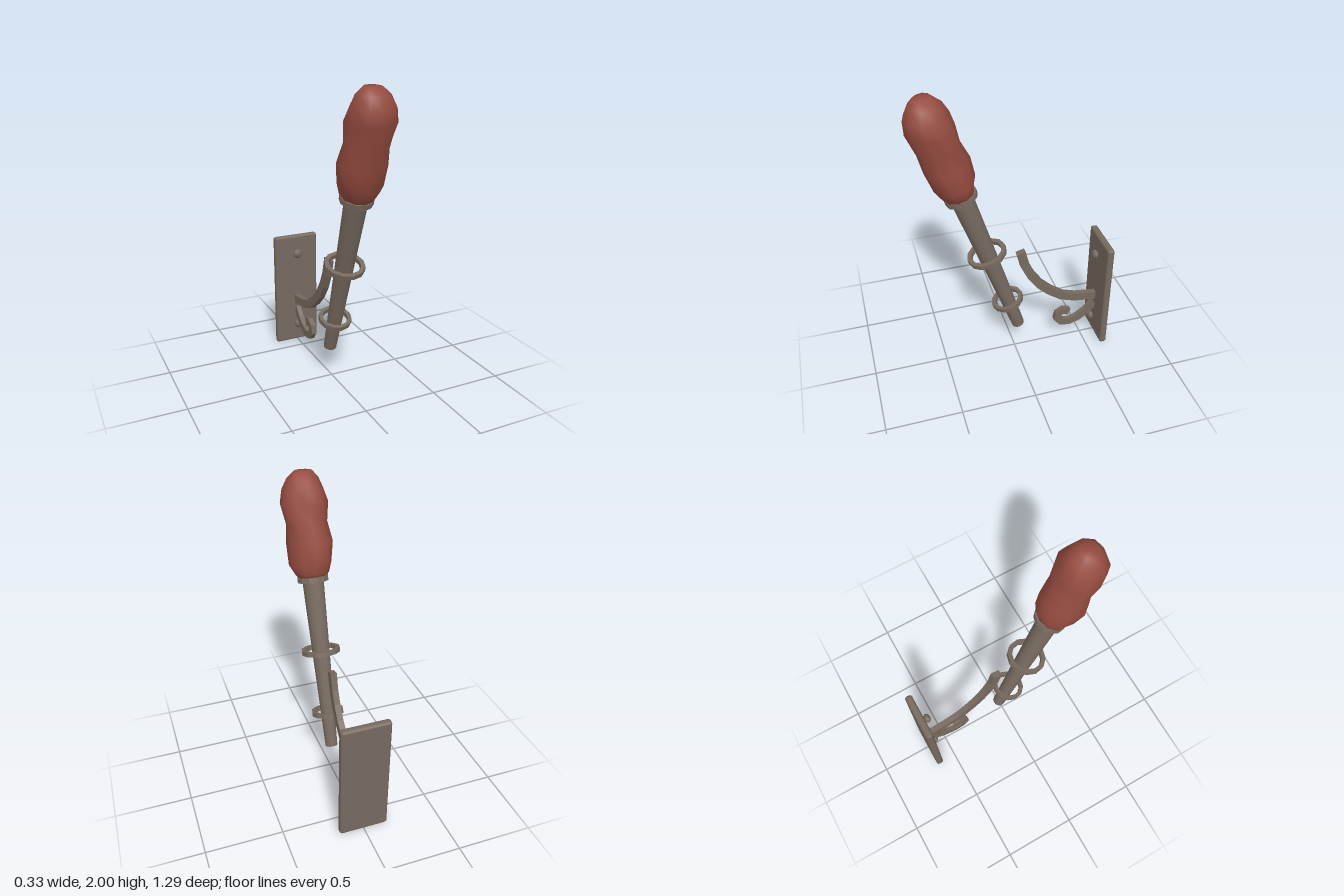
import * as THREE from 'three';
import { RoundedBoxGeometry } from 'three/addons/geometries/RoundedBoxGeometry.js';

const material = (name, color, extra = {}) => {
  const m = new THREE.MeshStandardMaterial({ color, ...extra });
  m.name = name;
  return m;
};

// Flat bar of constant thickness following a [z, y] path, centred on x = 0
function barGeometry(path, thickness, width) {
  const pts = path.map(([z, y]) => new THREE.Vector2(z, y));
  const side = (sign) => pts.map((p, i) => {
    const a = pts[Math.max(i - 1, 0)], b = pts[Math.min(i + 1, pts.length - 1)];
    const t = b.clone().sub(a).normalize();
    return new THREE.Vector2(p.x - t.y * sign * thickness / 2, p.y + t.x * sign * thickness / 2);
  });
  const shape = new THREE.Shape([...side(1), ...side(-1).reverse()]);
  const g = new THREE.ExtrudeGeometry(shape, { depth: width, bevelEnabled: false });
  return g.translate(0, 0, -width / 2).rotateY(-Math.PI / 2);
}

// Square-section ring around the y axis
function ringGeometry(inner, outer, height, sides) {
  const h = height / 2;
  const corners = [[inner, -h], [outer, -h], [outer, h], [inner, h], [inner, -h]];
  const g = new THREE.LatheGeometry(corners.map(([r, y]) => new THREE.Vector2(r, y)), sides);
  const flat = g.toNonIndexed();
  flat.computeVertexNormals();
  return flat;
}

// Closed lumpy head from tilted elliptical sections [cx, y, cz, rx, rz, tilt]
function headGeometry(sections, sides) {
  const pos = [], index = [];
  sections.forEach(([cx, y, cz, rx, rz, tilt], j) => {
    for (let i = 0; i < sides; i++) {
      const a = (i / sides) * Math.PI * 2;
      const lump = 1 + 0.03 * Math.sin(3 * a + j * 1.7);
      const d = Math.cos(a) * rz * lump;
      pos.push(cx + Math.sin(a) * rx * lump, y - d * Math.sin(tilt), cz + d * Math.cos(tilt));
    }
  });
  for (let j = 0; j < sections.length - 1; j++) {
    for (let i = 0; i < sides; i++) {
      const a = j * sides + i, b = j * sides + (i + 1) % sides;
      index.push(a, b, a + sides, b, b + sides, a + sides);
    }
  }
  // End caps
  const last = (sections.length - 1) * sides, n = sections.length * sides;
  for (const k of [0, sections.length - 1]) pos.push(sections[k][0], sections[k][1], sections[k][2]);
  for (let i = 0; i < sides; i++) {
    const k = (i + 1) % sides;
    index.push(n, k, i, n + 1, last + i, last + k);
  }
  const g = new THREE.BufferGeometry();
  g.setAttribute('position', new THREE.Float32BufferAttribute(pos, 3));
  g.setIndex(index);
  g.computeVertexNormals();
  return g;
}

export function createModel() {
  const model = new THREE.Group();
  model.name = 'wallTorch';
  const iron = material('brown iron', 0x776a5f);
  const red = material('ember red', 0x964c40);

  const add = (name, geometry, mat, parent = model) => {
    const mesh = new THREE.Mesh(geometry, mat);
    mesh.name = name;
    parent.add(mesh);
    return mesh;
  };

  // Wall plate with chamfered edges
  add('wallPlate', new RoundedBoxGeometry(0.326, 0.826, 0.05, 1, 0.016), iron)
    .position.set(0, 0.413, -0.623);

  // Studs holding the plate
  for (const y of [0.14, 0.695]) {
    const stud = add('stud', new THREE.SphereGeometry(0.034, 8, 6), iron);
    stud.position.set(0, y, -0.577);
    stud.scale.z = 0.7;
  }

  // Curved support arm and the scroll beneath it
  add('supportArm', barGeometry([
    [-0.042, 0.83], [-0.072, 0.715], [-0.117, 0.62], [-0.18, 0.528],
    [-0.255, 0.455], [-0.345, 0.39], [-0.445, 0.355], [-0.6, 0.335],
  ], 0.06, 0.041), iron);
  add('scroll', barGeometry([
    [-0.595, 0.265], [-0.54, 0.2], [-0.475, 0.152], [-0.405, 0.13], [-0.348, 0.144],
    [-0.317, 0.182], [-0.325, 0.222], [-0.36, 0.243], [-0.405, 0.225],
  ], 0.054, 0.034), iron);

  // Leaning handle with its rings; local y runs along the handle
  const handle = new THREE.Group();
  handle.name = 'handle';
  handle.position.set(0, 0.207, -0.027);
  handle.rotation.x = 0.314;
  model.add(handle);
  const length = 1.19;
  add('shaft', new THREE.CylinderGeometry(0.073, 0.043, length, 12), iron, handle)
    .position.y = length / 2;
  const rings = [
    ['lowerRing', 0.25, 0.084, 0.11, 0.03],
    ['upperRing', 0.69, 0.103, 0.132, 0.03],
    ['collar', 1.18, 0.076, 0.104, 0.034],
  ];
  for (const [name, y, inner, outer, height] of rings) {
    add(name, ringGeometry(inner, outer, height, 12), iron, handle).position.y = y;
  }

  // Lumpy torch head
  add('torchHead', headGeometry([
    [0, 1.335, 0.342, 0.09, 0.085, 0.33],
    [0, 1.36, 0.35, 0.11, 0.104, 0.33],
    [0.002, 1.427, 0.371, 0.14, 0.133, 0.3],
    [-0.008, 1.552, 0.411, 0.152, 0.145, 0.24],
    [0.003, 1.676, 0.451, 0.133, 0.131, 0.22],
    [0.003, 1.8, 0.49, 0.155, 0.146, 0.12],
    [0, 1.882, 0.512, 0.132, 0.134, 0.12],
    [0, 1.952, 0.516, 0.1, 0.1, 0.08],
    [-0.004, 1.992, 0.525, 0.058, 0.055, 0.14],
  ], 10), red);

  return model;
}
